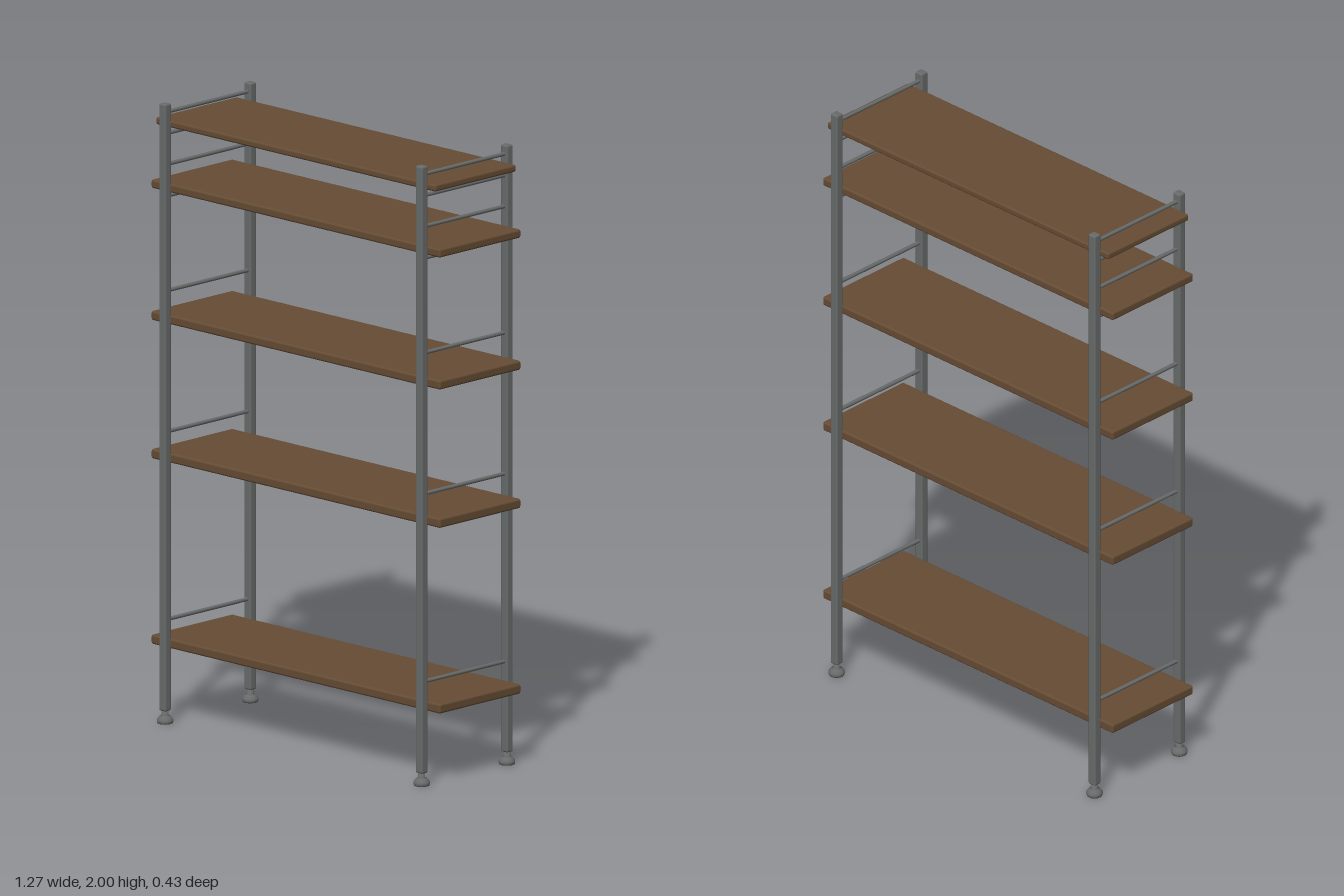
import * as THREE from 'three';
import { RoundedBoxGeometry } from 'three/addons/geometries/RoundedBoxGeometry.js';

const wood = new THREE.MeshStandardMaterial({ name: 'brown wood', color: 0x664c34 });
const steel = new THREE.MeshStandardMaterial({ name: 'grey steel', color: 0x676b6a });

const POST_X = 0.563, POST_Z = 0.19;

function add(parent, name, geometry, material, x, y, z) {
  const mesh = new THREE.Mesh(geometry, material);
  mesh.name = name;
  mesh.position.set(x, y, z);
  parent.add(mesh);
  return mesh;
}

export function createModel() {
  const model = new THREE.Group();
  model.name = 'shelfUnit';

  // Boards: centre height, length, thickness
  const boards = [
    [0.256, 1.268, 0.031],
    [0.855, 1.268, 0.031],
    [1.301, 1.268, 0.03],
    [1.726, 1.268, 0.028],
    [1.933, 1.228, 0.023],
  ];
  for (const [y, length, thickness] of boards) {
    add(model, 'shelf', new RoundedBoxGeometry(length, thickness, 0.363, 2, 0.007), wood, 0, y, 0);
  }

  // Slim round-cornered upright
  const postGeo = new RoundedBoxGeometry(0.03, 1.96, 0.028, 2, 0.006);

  // Levelling foot: flat pad, sloped shoulder and narrow stem
  const footGeo = new THREE.LatheGeometry([
    [0, 0], [0.024, 0], [0.026, 0.005], [0.026, 0.012], [0.019, 0.022],
    [0.011, 0.026], [0.011, 0.045], [0, 0.045],
  ].map(([r, y]) => new THREE.Vector2(r, y)), 16);

  // Side rails run front to back between the uprights
  const railGeo = new THREE.CylinderGeometry(0.0065, 0.0065, POST_Z * 2, 10);
  railGeo.rotateX(Math.PI / 2);
  const railHeights = [0.333, 0.939, 1.394, 1.7, 1.802, 1.902, 1.971];

  for (const sx of [1, -1]) {
    const frame = new THREE.Group();
    frame.name = sx > 0 ? 'leftFrame' : 'rightFrame';
    for (const sz of [1, -1]) {
      add(frame, 'post', postGeo, steel, sx * POST_X, 1.02, sz * POST_Z);
      add(frame, 'foot', footGeo, steel, sx * POST_X, 0, sz * POST_Z);
    }
    for (const y of railHeights) add(frame, 'sideRail', railGeo, steel, sx * POST_X, y, 0);
    model.add(frame);
  }
  return model;
}
